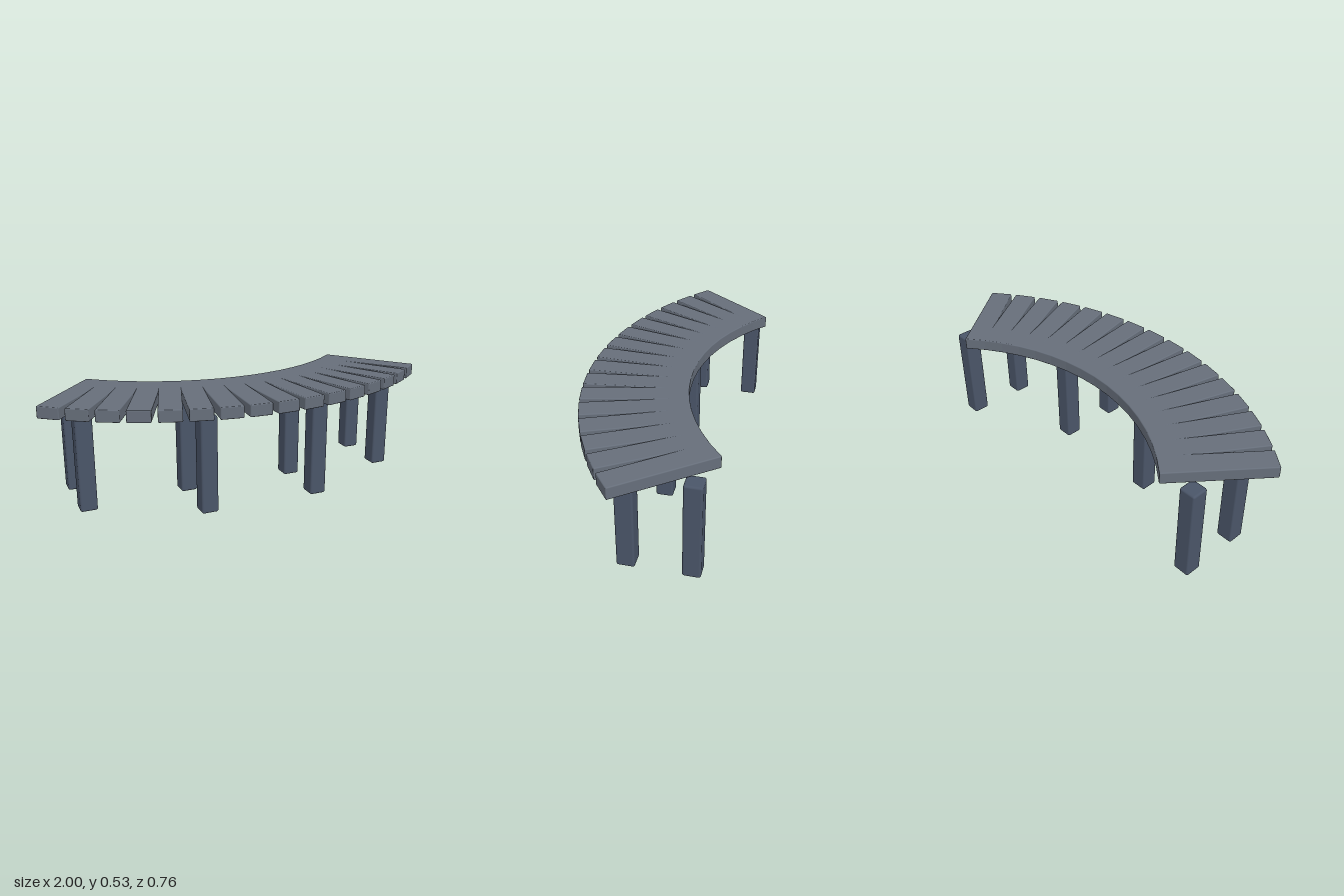
import * as THREE from 'three';
import { RoundedBoxGeometry } from 'three/addons/geometries/RoundedBoxGeometry.js';

export function createModel() {
  const model = new THREE.Group();
  model.name = 'curvedSlatBench';
  const seatMaterial = new THREE.MeshStandardMaterial({ color: 0x666e7a });
  const legMaterial = new THREE.MeshStandardMaterial({ color: 0x4a5568 });

  // Seat: equal planks fanned round a centre behind the bench, merging towards the inner edge
  const count = 16, endAngle = THREE.MathUtils.degToRad(38.5);
  const centreZ = -1.16, outerRadius = 1.537, length = 0.497;
  const midRadius = outerRadius - length / 2;
  const plankGeometry = new RoundedBoxGeometry(0.11, 0.058, length, 2, 0.005);
  const seat = new THREE.Group();
  seat.name = 'seat';
  for (let i = 0; i < count; i++) {
    const angle = THREE.MathUtils.lerp(-endAngle, endAngle, i / (count - 1));
    const plank = new THREE.Mesh(plankGeometry, seatMaterial);
    plank.name = 'seatPlank';
    plank.position.set(midRadius * Math.sin(angle), 0.504, centreZ + midRadius * Math.cos(angle));
    plank.rotation.y = angle;
    seat.add(plank);
  }
  model.add(seat);

  // Legs: four front-and-back pairs, mirrored left and right
  const legGeometry = new RoundedBoxGeometry(0.082, 0.473, 0.082, 2, 0.01);
  const legs = new THREE.Group();
  legs.name = 'legs';
  for (const side of [-1, 1]) {
    for (const [x, frontZ, backZ] of [[0.285, 0.24, -0.05], [0.8, -0.005, -0.293]]) {
      for (const [name, z] of [['frontLeg', frontZ], ['backLeg', backZ]]) {
        const leg = new THREE.Mesh(legGeometry, legMaterial);
        leg.name = name;
        leg.position.set(side * x, 0.2365, z);
        legs.add(leg);
      }
    }
  }
  model.add(legs);
  return model;
}
